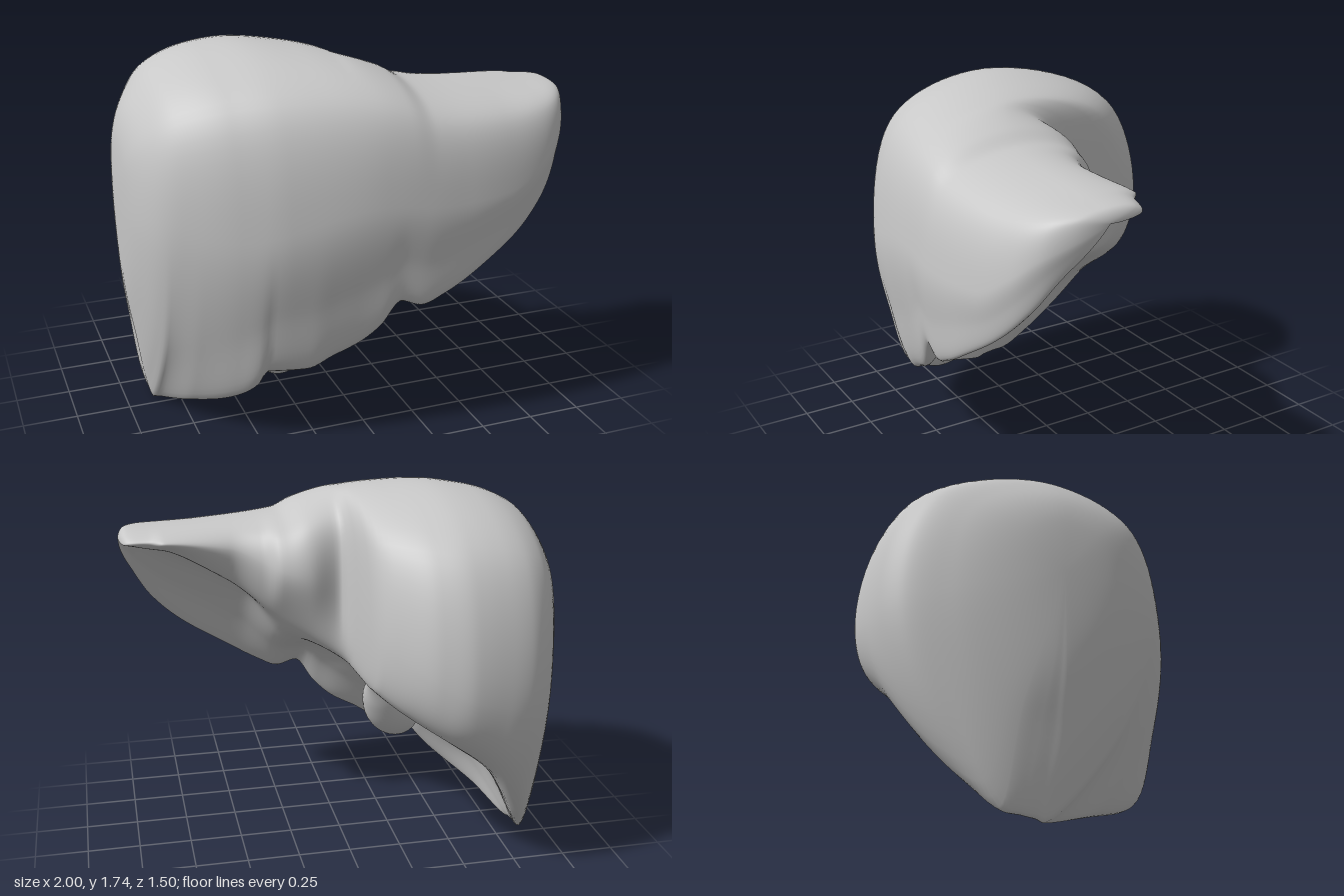
import * as THREE from 'three';
import { mergeVertices } from 'three/addons/utils/BufferGeometryUtils.js';

// Smooth, non-overshooting curve through [x, value] knots.
// It runs over the angle acos(-x), so both ends of the body close roundly.
const angle = (x) => Math.acos(-x);
function profile(...knots) {
  const t = knots.map((k) => angle(k[0]));
  const v = knots.map((k) => k[1]);
  const slope = (i) => (v[i + 1] - v[i]) / (t[i + 1] - t[i]);
  const tangent = (i) => {
    if (i === 0) return slope(0);
    if (i === t.length - 1) return slope(i - 1);
    const a = slope(i - 1), b = slope(i);
    return a * b <= 0 ? 0 : (2 * a * b) / (a + b);
  };
  return (q) => {
    let i = 0;
    while (i < t.length - 2 && q > t[i + 1]) i++;
    const h = t[i + 1] - t[i];
    const s = THREE.MathUtils.clamp((q - t[i]) / h, 0, 1);
    const s2 = s * s, s3 = s2 * s;
    return v[i] * (2 * s3 - 3 * s2 + 1) + tangent(i) * h * (s3 - 2 * s2 + s)
      + v[i + 1] * (3 * s2 - 2 * s3) + tangent(i + 1) * h * (s3 - s2);
  };
}

// Lines running from the right end (-x) to the left tip (+x)
const topY = profile([-1, 1.08], [-0.98, 1.37], [-0.9, 1.55], [-0.8, 1.655], [-0.6, 1.73], [-0.42, 1.75],
  [-0.2, 1.73], [0, 1.69], [0.15, 1.64], [0.25, 1.59], [0.5, 1.56], [0.8, 1.54], [0.96, 1.53], [1, 1.48]);
const topZ = profile([-1, 0], [-0.6, -0.02], [-0.2, 0.12], [0.2, 0.3], [0.6, 0.33], [1, 0.32]);
const frontY = profile([-1, 1.08], [-0.6, 1.03], [0, 1.15], [0.3, 1.12], [0.6, 1.14], [0.8, 1.25], [0.9, 1.34], [1, 1.48]);
const frontZ = profile([-1, 0], [-0.98, 0.24], [-0.9, 0.43], [-0.8, 0.52], [-0.6, 0.63], [-0.4, 0.69],
  [0, 0.74], [0.2, 0.745], [0.4, 0.735], [0.6, 0.71], [0.8, 0.65], [0.9, 0.58], [0.97, 0.47], [1, 0.32]);
const edgeY = profile([-1, 1.08], [-0.99, 0.7], [-0.95, 0.4], [-0.9, 0.11], [-0.87, 0.01], [-0.75, 0.1],
  [-0.6, 0.2], [-0.51, 0.29], [-0.47, 0.36], [-0.3, 0.37], [-0.2, 0.42], [-0.08, 0.48], [0.01, 0.56],
  [0.1, 0.68], [0.2, 0.65], [0.3, 0.69], [0.5, 0.81], [0.7, 0.95], [0.85, 1.11], [0.95, 1.3], [1, 1.48]);
const edgeZ = profile([-1, 0], [-0.95, 0], [-0.87, -0.06], [-0.75, 0.18], [-0.6, 0.4], [-0.5, 0.5],
  [-0.3, 0.57], [-0.1, 0.61], [0.1, 0.67], [0.4, 0.69], [0.6, 0.67], [0.8, 0.61], [0.9, 0.54], [0.97, 0.43], [1, 0.32]);
const hollowY = profile([-1, 1.08], [-0.99, 0.72], [-0.95, 0.42], [-0.87, 0.025], [-0.8, 0.19], [-0.7, 0.4],
  [-0.6, 0.48], [-0.45, 0.59], [-0.3, 0.73], [-0.15, 0.82], [0, 0.88], [0.1, 0.91], [0.22, 0.94], [0.4, 1.16],
  [0.6, 1.3], [0.8, 1.4], [0.93, 1.46], [1, 1.48]);
const hollowZ = profile([-1, 0], [-0.95, -0.1], [-0.87, -0.16], [-0.75, -0.04], [-0.5, 0], [-0.2, 0.1],
  [0, 0.25], [0.2, 0.3], [0.5, 0.36], [0.8, 0.34], [1, 0.32]);
const lowY = profile([-1, 1.08], [-0.99, 0.78], [-0.95, 0.46], [-0.87, 0.05], [-0.8, 0.15], [-0.72, 0.31], [-0.6, 0.53],
  [-0.4, 0.7], [-0.2, 0.82], [-0.08, 0.9], [0.1, 1.02], [0.3, 1.15], [0.5, 1.3], [0.8, 1.45], [1, 1.48]);
const lowZ = profile([-1, 0], [-0.95, -0.18], [-0.87, -0.255], [-0.8, -0.35], [-0.72, -0.47], [-0.6, -0.59], [-0.4, -0.63],
  [-0.2, -0.53], [-0.08, -0.38], [-0.03, -0.08], [0.1, 0], [0.3, 0.08], [0.5, 0.15], [0.8, 0.16], [0.97, 0.22], [1, 0.32]);
const backY = profile([-1, 1.08], [-0.8, 0.88], [-0.5, 0.93], [-0.1, 1.15], [0.1, 1.3], [0.3, 1.37],
  [0.5, 1.46], [0.8, 1.5], [1, 1.48]);
const backZ = profile([-1, 0], [-0.98, -0.2], [-0.9, -0.46], [-0.8, -0.655], [-0.7, -0.725], [-0.6, -0.745],
  [-0.45, -0.755], [-0.3, -0.71], [-0.15, -0.58], [-0.07, -0.45], [-0.05, -0.32], [-0.03, -0.14], [0.01, -0.07],
  [0.15, -0.1], [0.28, -0.07], [0.35, 0], [0.5, 0.06], [0.8, 0.065], [0.86, 0.11], [0.97, 0.15], [1, 0.32]);

// Closed outline of the body at one station
function section(q) {
  const p = (z, y) => new THREE.Vector3(-Math.cos(q), y, z);
  const top = p(topZ(q), topY(q));
  const front = p(frontZ(q), frontY(q));
  const edge = p(edgeZ(q), edgeY(q));
  const hollow = p(hollowZ(q), hollowY(q));
  const low = p(lowZ(q), lowY(q));
  const back = p(backZ(q), backY(q));
  const shoulder = (side) => p(
    THREE.MathUtils.lerp(top.z, side.z, 0.78), THREE.MathUtils.lerp(side.y, top.y, 0.75));
  const belly = front.clone().lerp(edge, 0.55);
  belly.z += (front.z - edge.z) * 0.25;
  const underside = edge.clone().lerp(hollow, 0.45);
  underside.y += (hollow.y - edge.y) * 0.1;
  return new THREE.CatmullRomCurve3([
    top, shoulder(front), front, belly, edge, underside, hollow, low, back, shoulder(back),
  ], true);
}

function bodyGeometry(stations = 160, around = 100) {
  const positions = [], index = [];
  for (let i = 0; i <= stations; i++) {
    const curve = section((Math.PI * i) / stations);
    for (let j = 0; j < around; j++) positions.push(...curve.getPoint(j / around).toArray());
  }
  for (let i = 0; i < stations; i++) {
    for (let j = 0; j < around; j++) {
      const k = (j + 1) % around;
      const a = i * around + j, b = i * around + k;
      index.push(a, b, a + around, b, b + around, a + around);
    }
  }
  const raw = new THREE.BufferGeometry();
  raw.setAttribute('position', new THREE.Float32BufferAttribute(positions, 3));
  raw.setIndex(index);
  const geometry = mergeVertices(raw, 1e-5);
  geometry.computeVertexNormals();
  return geometry;
}

export function createModel() {
  const group = new THREE.Group();
  group.name = 'liver';
  const tissue = new THREE.MeshStandardMaterial({ color: 0xc8c8c8 });
  tissue.name = 'pale grey tissue';

  // Both lobes as one continuous body
  const lobes = new THREE.Mesh(bodyGeometry(), tissue);
  lobes.name = 'lobes';
  group.add(lobes);

  // Pear-shaped gallbladder lying in the underside
  const outline = new THREE.SplineCurve([
    [0, 0], [0.06, 0.012], [0.11, 0.06], [0.138, 0.15], [0.135, 0.26],
    [0.1, 0.38], [0.05, 0.48], [0.018, 0.55], [0, 0.59],
  ].map(([r, h]) => new THREE.Vector2(r, h))).getPoints(48);
  outline.forEach((p) => { p.x = Math.max(p.x, 0); });
  const gallbladder = new THREE.Mesh(new THREE.LatheGeometry(outline, 40), tissue);
  gallbladder.name = 'gallbladder';
  const fundus = new THREE.Vector3(-0.45, 0.345, 0.49);
  const neck = new THREE.Vector3(-0.19, 0.75, 0.16);
  gallbladder.position.copy(fundus);
  gallbladder.quaternion.setFromUnitVectors(
    new THREE.Vector3(0, 1, 0), neck.sub(fundus).normalize());
  group.add(gallbladder);

  return group;
}
